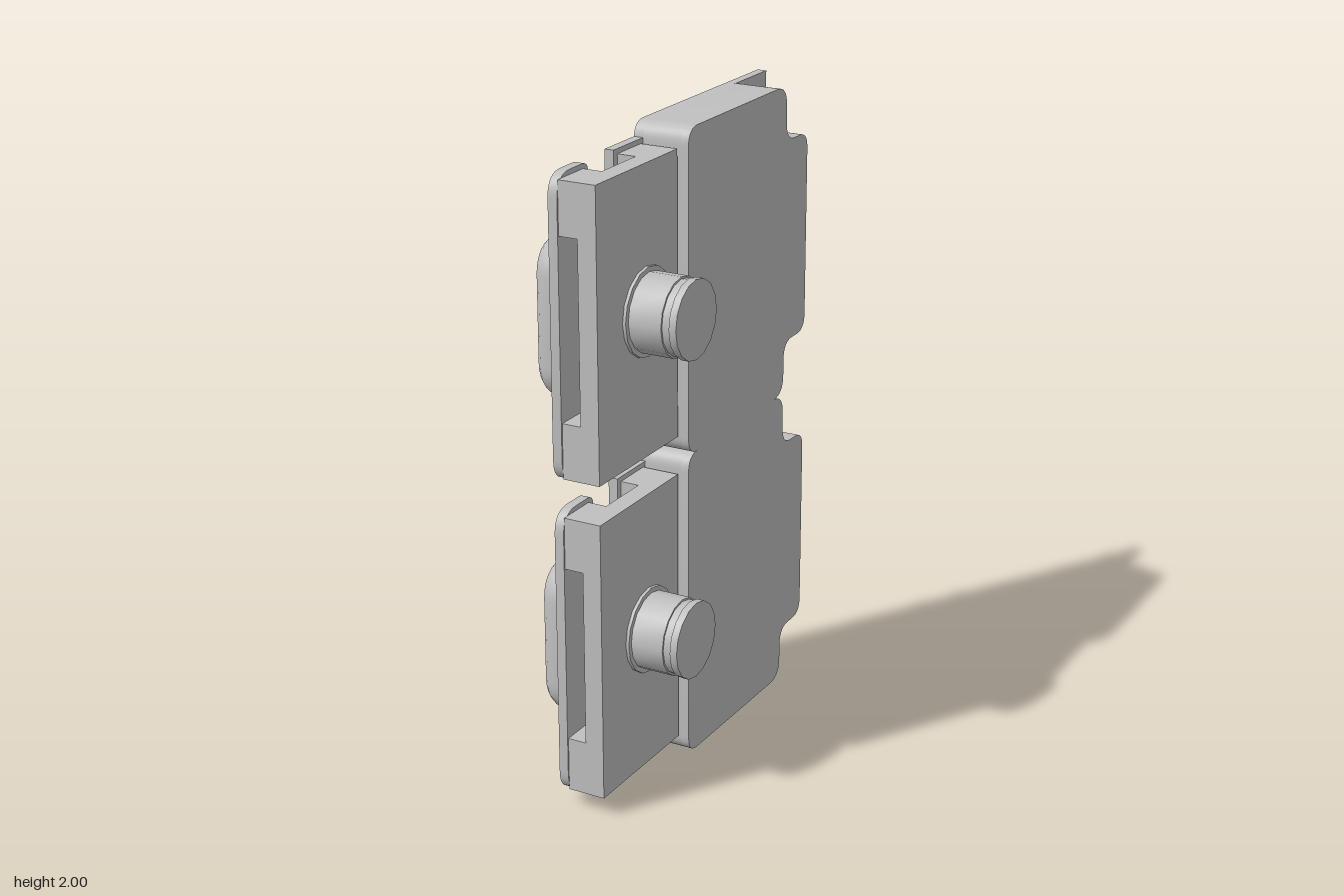
import * as THREE from 'three';
import { toCreasedNormals } from 'three/addons/utils/BufferGeometryUtils.js';

const grey = new THREE.MeshStandardMaterial({ color: 0xc0c0c0 });
grey.name = 'plain grey';

function add(group, name, geometry, position = [0, 0, 0]) {
  const mesh = new THREE.Mesh(toCreasedNormals(geometry, 0.6), grey);
  mesh.name = name;
  mesh.position.set(...position);
  group.add(mesh);
  return mesh;
}

// Box given by its limits on each axis
function block(group, name, [x0, x1], [y0, y1], [z0, z1]) {
  add(group, name, new THREE.BoxGeometry(x1 - x0, y1 - y0, z1 - z0),
    [(x0 + x1) / 2, (y0 + y1) / 2, (z0 + z1) / 2]);
}

// Closed outline through [z, y, corner radius] points, drawn with -z to the right
function outline(points, ShapeType = THREE.Shape) {
  const shape = new ShapeType();
  const at = (i) => points[(i + points.length) % points.length];
  points.forEach(([z, y, r = 0], i) => {
    const p = new THREE.Vector2(-z, y);
    const toward = ([nz, ny]) => new THREE.Vector2(-nz, ny).sub(p).normalize().multiplyScalar(r).add(p);
    const a = toward(at(i - 1)), b = toward(at(i + 1));
    if (i === 0) shape.moveTo(a.x, a.y); else shape.lineTo(a.x, a.y);
    if (r > 0) shape.quadraticCurveTo(p.x, p.y, b.x, b.y);
  });
  shape.closePath();
  return shape;
}

// Extrudes an outline along x
function slab(shape, x0, x1) {
  const g = new THREE.ExtrudeGeometry(shape, { depth: x1 - x0, bevelEnabled: false, curveSegments: 8 });
  return g.rotateY(Math.PI / 2).translate(x0, 0, 0);
}

// Adds the upper half of an outline mirrored from its lower half
const mirrored = (half) => [...half, ...half.map(([z, y, r]) => [z, 1 - y, r]).reverse()];

// Tray outline with scalloped rear corners, inset by d
const trayPoints = (d) => mirrored([
  [0.15 - d, d, 0.055 - d],
  [-0.47 + d, d, 0.065],
  [-0.47 + d, 0.175 + d, 0.06],
  [-0.615 + d, 0.175 + d, 0.055],
]);

function withHole(points) {
  const shape = outline(points);
  shape.holes.push(outline(trayPoints(0.03), THREE.Path));
  return shape;
}

function makeTray() {
  const tray = new THREE.Group();
  tray.name = 'tray';
  add(tray, 'trayFloor', slab(outline(trayPoints(0)), 0.05, 0.075));
  add(tray, 'trayWall', slab(withHole(trayPoints(0)), -0.075, 0.05));
  const flange = mirrored([[0.15, 0, 0.055], [-0.62, 0]]);
  add(tray, 'trayFlange', slab(withHole(flange), -0.105, -0.075));

  // Curved swelling in the inner corner
  const swelling = new THREE.SphereGeometry(1, 8, 16, Math.PI * 1.5, Math.PI / 2).scale(0.05, 0.17, 0.05);
  add(tray, 'innerSwelling', swelling, [0.05, 0.5, 0.12]);

  // Tapered studs on the rear flange corners
  for (const y of [0.1, 0.9]) {
    add(tray, 'stud', new THREE.CylinderGeometry(0.043, 0.05, 0.03, 20).rotateZ(Math.PI / 2), [-0.12, y, -0.547]);
  }
  return tray;
}

function makeHousing() {
  const housing = new THREE.Group();
  housing.name = 'housing';

  // Back plate with a U-shaped slot at each end
  const plate = mirrored([
    [0.62, 0.045, 0.07],
    [0.455, 0.045, 0.03],
    [0.45, 0.205, 0.065],
    [0.315, 0.205, 0.065],
    [0.315, 0.045],
    [0.14, 0.045],
  ]);
  add(housing, 'backPlate', slab(outline(plate), -0.105, -0.075));

  // Hollow body, open through its middle and at its front slot
  block(housing, 'outerPanel', [-0.015, 0.045], [0.06, 0.94], [0.162, 0.615]);
  block(housing, 'rearColumn', [-0.075, -0.015], [0.06, 0.94], [0.162, 0.295]);
  for (const [y0, y1] of [[0.06, 0.23], [0.78, 0.94]]) {
    block(housing, 'frontColumn', [-0.075, -0.015], [y0, y1], [0.48, 0.615]);
  }
  block(housing, 'neck', [-0.075, 0.03], [0.27, 0.73], [0.145, 0.165]);

  // Rounded pad, its hidden side flattened against the plate
  const r = 0.07;
  const padShape = outline(mirrored([[0.57 - r, 0.25 + r, 0.05], [0.12 + r, 0.25 + r, 0.05]]));
  const pad = new THREE.ExtrudeGeometry(padShape, {
    depth: 0.04, bevelSize: r, bevelThickness: r, bevelSegments: 5, curveSegments: 6,
  });
  pad.rotateY(Math.PI / 2).translate(-0.14, 0, 0);
  const p = pad.attributes.position;
  for (let i = 0; i < p.count; i++) p.setX(i, Math.min(p.getX(i), -0.1));
  add(housing, 'pad', pad);

  // Round connector with collar and groove
  const profile = [
    [0, 0.04], [0.135, 0.04], [0.135, 0.055], [0.12, 0.055], [0.12, 0.16],
    [0.114, 0.16], [0.114, 0.185], [0.12, 0.185], [0.12, 0.208], [0, 0.208],
  ].map(([a, b]) => new THREE.Vector2(a, b));
  add(housing, 'connector', new THREE.LatheGeometry(profile, 16).rotateZ(-Math.PI / 2), [0, 0.505, 0.343]);
  return housing;
}

export function createModel() {
  const model = new THREE.Group();
  model.name = 'doubleTray';
  // Two equal units, one above the other
  for (const [name, y] of [['lowerUnit', 0], ['upperUnit', 1]]) {
    const unit = new THREE.Group();
    unit.name = name;
    unit.add(makeTray(), makeHousing());
    unit.position.y = y;
    model.add(unit);
  }
  return model;
}
